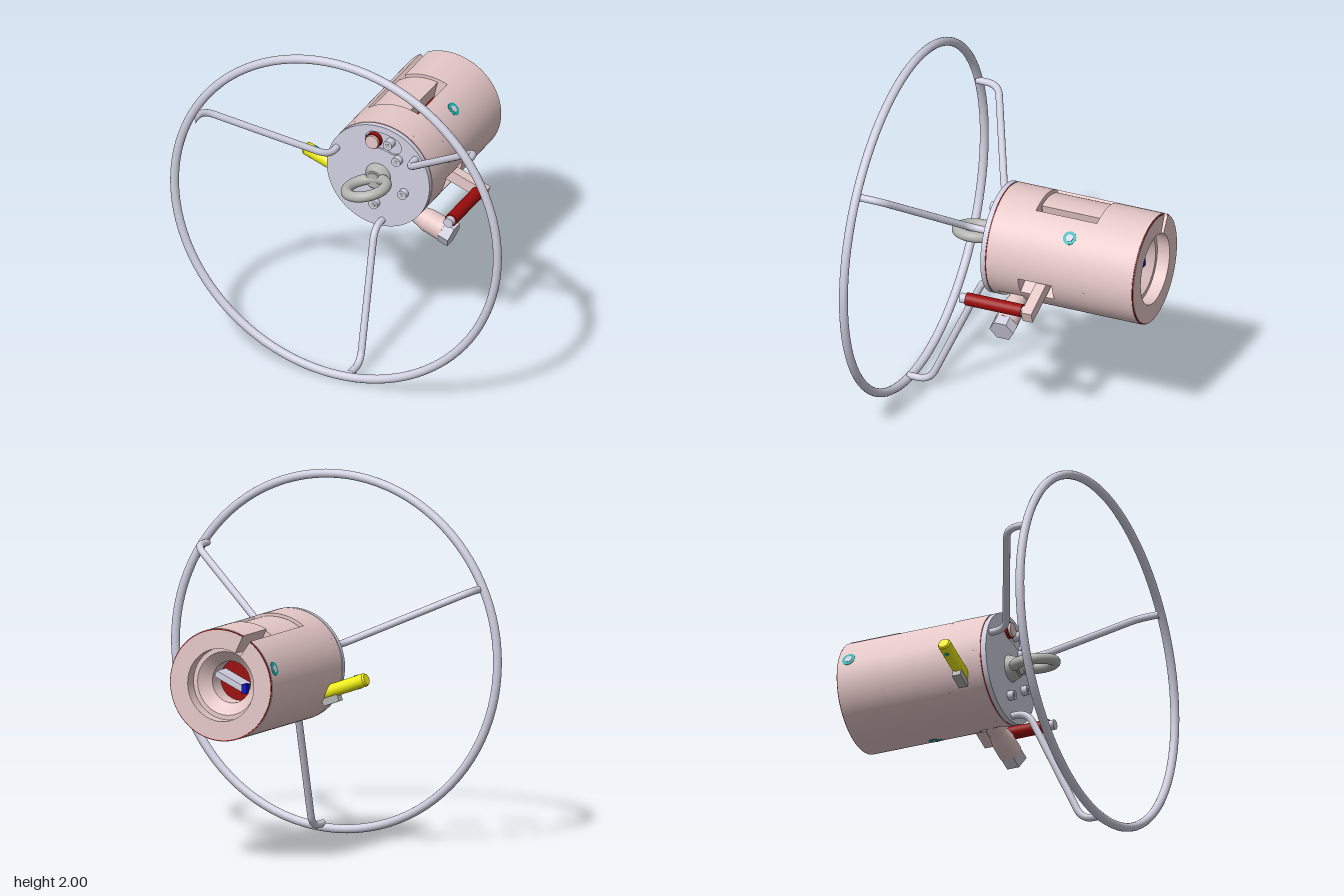
import * as THREE from 'three';
import { toCreasedNormals } from 'three/addons/utils/BufferGeometryUtils.js';

const mat = (color, side = THREE.FrontSide) => new THREE.MeshStandardMaterial({ color, side });
const pink = mat(0xe6c8c8), lilac = mat(0xd0cfe0), grey = mat(0xb4b4b0), red = mat(0x9c0c0c);
const yellow = mat(0xf0ee10), teal = mat(0x10b0b0), blue = mat(0x1010c0);
const rad = THREE.MathUtils.degToRad;

function add(parent, name, geo, material, x = 0, y = 0, z = 0) {
  const m = new THREE.Mesh(geo, material);
  m.name = name;
  m.position.set(x, y, z);
  parent.add(m);
  return m;
}

// Cylinder along z between z0 and z1
function rodZ(r, z0, z1, sides = 32, rBack = r) {
  return new THREE.CylinderGeometry(r, rBack, z1 - z0, sides).rotateX(Math.PI / 2).translate(0, 0, (z0 + z1) / 2);
}

// Curved block: part of a thick tube around z, angles in degrees
function sector(r0, r1, a0, a1, z0, z1) {
  const s = new THREE.Shape();
  s.absarc(0, 0, r1, rad(a0), rad(a1), false);
  s.absarc(0, 0, r0, rad(a1), rad(a0), true);
  const geo = new THREE.ExtrudeGeometry(s, { depth: z1 - z0, bevelEnabled: false, curveSegments: 40 });
  return toCreasedNormals(geo.translate(0, 0, z0), 0.5);
}

// Lathe around z from [radius, z] points, creased at the steps
function turned(points) {
  const geo = new THREE.LatheGeometry(points.map(p => new THREE.Vector2(...p)), 64);
  return toCreasedNormals(geo.rotateX(Math.PI / 2), 0.5);
}

export function createModel() {
  const model = new THREE.Group();
  model.name = 'handwheelTool';
  const hub = new THREE.Group(); // everything turns about the z axis at y = 1
  hub.name = 'hub';
  hub.position.y = 1;
  model.add(hub);

  // Handwheel rim and its three bent spokes
  add(hub, 'wheelRim', new THREE.TorusGeometry(0.976, 0.024, 16, 96), lilac, 0, 0, 0.695);
  for (const angle of [35, 155.5, 275]) {
    const path = new THREE.CurvePath();
    const pts = [[0.275, 0.15], [0.275, 0.265], [0.955, 0.565], [0.955, 0.695]]
      .map(([r, z]) => new THREE.Vector3(r, 0, z));
    const toward = (a, b, d) => a.clone().add(b.clone().sub(a).setLength(d));
    let from = pts[0];
    for (const i of [1, 2]) {
      const a = toward(pts[i], pts[i - 1], 0.07), b = toward(pts[i], pts[i + 1], 0.07);
      path.add(new THREE.LineCurve3(from, a));
      path.add(new THREE.QuadraticBezierCurve3(a, pts[i], b));
      from = b;
    }
    path.add(new THREE.LineCurve3(from, pts[3]));
    add(hub, 'spoke', new THREE.TubeGeometry(path, 80, 0.02, 14), lilac).rotation.z = rad(angle);
  }

  // Housing wall in rings, each with its openings as angle gaps
  const R = 0.31, bore = 0.2;
  const slot = [115.8, 125.5], windowGap = [67, 125.5], leverGap = [330, 350], rodGap = [282, 320];
  const rings = [
    [-0.725, -0.44, [slot]],
    [-0.44, -0.25, [windowGap]],
    [-0.25, -0.08, [windowGap, leverGap]],
    [-0.08, -0.05, [leverGap]],
    [-0.05, 0.095, [rodGap]],
    [0.095, 0.135, [[90, 90]]],
  ];
  for (const [z0, z1, gaps] of rings) {
    gaps.forEach((gap, i) => {
      const start = gap[1];
      const end = i + 1 < gaps.length ? gaps[i + 1][0] : gaps[0][0] + 360;
      const mid = (start + end) / 2;
      add(hub, 'housingWall', sector(bore, R, start, mid, z0, z1), pink);
      add(hub, 'housingWall', sector(bore, R, mid, end, z0, z1), pink);
    });
  }
  // Sleeve seen in the top window
  add(hub, 'windowSleeve', sector(bore, 0.295, 77, 125.5, -0.435, -0.09), pink);

  // Dark edge rings at both ends of the housing
  add(hub, 'rearEdge', sector(bore + 0.095, R - 0.003, 125.5, 475.8, -0.73, -0.725), red);
  add(hub, 'rearFace', sector(bore, R - 0.007, 125.5, 475.8, -0.732, -0.724), pink);
  add(hub, 'frontEdge', rodZ(R - 0.003, 0.133, 0.142, 64), red);

  // Core, funnel and socket inside the bore
  add(hub, 'core', rodZ(bore - 0.001, -0.43, 0.135, 48), red);
  add(hub, 'funnel', turned([[bore, -0.43], [bore, -0.66], [0.175, -0.66], [0.115, -0.6], [0.115, -0.43]]),
    mat(0xe6c8c8, THREE.DoubleSide));
  add(hub, 'socketFloor', rodZ(0.114, -0.5, -0.43), red);
  const key = add(hub, 'socketKey', new THREE.BoxGeometry(0.2, 0.035, 0.12), lilac, 0, 0, -0.55);
  key.rotation.z = rad(25);
  add(hub, 'socketCatch', new THREE.BoxGeometry(0.03, 0.05, 0.06), blue, -0.09, -0.03, -0.6);

  // Front plate with a curved slot
  const plate = new THREE.Shape();
  plate.absarc(0, 0, R, 0, Math.PI * 2, false);
  const curved = new THREE.Path(), a0 = rad(66), a1 = rad(97), pr = 0.222, hw = 0.05;
  curved.absarc(0, 0, pr + hw, a0, a1, false);
  curved.absarc(pr * Math.cos(a1), pr * Math.sin(a1), hw, a1, a1 + Math.PI, false);
  curved.absarc(0, 0, pr - hw, a1, a0, true);
  curved.absarc(pr * Math.cos(a0), pr * Math.sin(a0), hw, a0 + Math.PI, a0 + Math.PI * 2, false);
  plate.holes.push(curved);
  const plateGeo = new THREE.ExtrudeGeometry(plate, { depth: 0.028, bevelEnabled: false, curveSegments: 48 });
  add(hub, 'frontPlate', toCreasedNormals(plateGeo, 0.5), lilac, 0, 0, 0.142);
  add(hub, 'slotFloor', sector(0.16, 0.285, 48, 115, 0.14, 0.158), lilac);
  add(hub, 'slotPinCollar', rodZ(0.046, 0.14, 0.185), red, -0.025, 0.217);
  add(hub, 'slotPin', rodZ(0.039, 0.14, 0.2), pink, -0.025, 0.217);

  // Plate bolts
  for (const [x, y] of [[0.072, 0.222], [0.123, 0.13], [0.158, -0.068], [-0.015, -0.17]]) {
    add(hub, 'plateBolt', rodZ(0.027, 0.15, 0.205, 24), lilac, x, y);
    add(hub, 'boltSocket', rodZ(0.014, 0.2, 0.207, 6), grey, x, y);
  }

  // Lifting eye
  add(hub, 'eyeCollar', rodZ(0.055, 0.165, 0.225, 32, 0.078), grey);
  add(hub, 'eyeShank', rodZ(0.045, 0.2, 0.235), grey);
  const eye = add(hub, 'eyeRing', new THREE.TorusGeometry(0.111, 0.03, 20, 56).rotateX(Math.PI / 2), grey, 0, 0, 0.318);
  eye.rotation.z = rad(12);

  // Cross parts share one tilted frame
  const cross = new THREE.Group();
  cross.name = 'crossParts';
  cross.rotation.z = rad(-20);
  hub.add(cross);
  const rodX = (r0, r1, x0, x1, sides = 32) =>
    new THREE.CylinderGeometry(r1, r0, x1 - x0, sides).rotateZ(-Math.PI / 2).translate((x0 + x1) / 2, 0, 0);
  const ry = -0.207, rz = 0.015;
  add(cross, 'yellowPin', rodX(0.037, 0.037, -0.465, -0.15), yellow, 0, ry, rz);
  add(cross, 'yellowPinTip', rodX(0.03, 0.037, -0.475, -0.465), yellow, 0, ry, rz);
  add(cross, 'pinCrossHole', rodZ(0.012, -0.039, 0.039, 16).rotateX(Math.PI / 2), teal, -0.42, ry, rz);
  add(cross, 'pinLug', new THREE.BoxGeometry(0.1, 0.045, 0.05), grey, -0.235, ry - 0.045, rz);
  add(cross, 'plungerNeck', rodX(0.05, 0.05, 0, 0.25), pink, 0, ry, rz);
  add(cross, 'plungerTaper', rodX(0.05, 0.065, 0.25, 0.32), pink, 0, ry, rz);
  add(cross, 'plungerBarrel', rodX(0.065, 0.065, 0.32, 0.42), pink, 0, ry, rz);
  add(cross, 'plungerHex', toCreasedNormals(rodX(0.071, 0.071, 0.415, 0.48, 6), 0.5), lilac, 0, ry, rz);

  // Crank lever with its grip
  add(cross, 'leverArm', new THREE.BoxGeometry(0.39, 0.066, 0.06), pink, 0.32, 0.004, -0.18);
  add(cross, 'leverGrip', rodZ(0.036, -0.14, 0.19), red, 0.476, 0.006);
  add(cross, 'gripBolt', rodZ(0.028, -0.15, 0.225), lilac, 0.476, 0.006);

  // Set screws around the housing
  for (const [angle, z] of [[45, -0.32], [285, -0.32], [161, -0.665]]) {
    const screw = new THREE.Group();
    screw.name = 'setScrew';
    screw.rotation.z = rad(angle);
    hub.add(screw);
    add(screw, 'screwBore', rodX(0.038, 0.038, 0.25, 0.311), teal, 0, 0, z);
    add(screw, 'screwHead', rodX(0.022, 0.022, 0.25, 0.313, 6), lilac, 0, 0, z);
  }
  return model;
}
